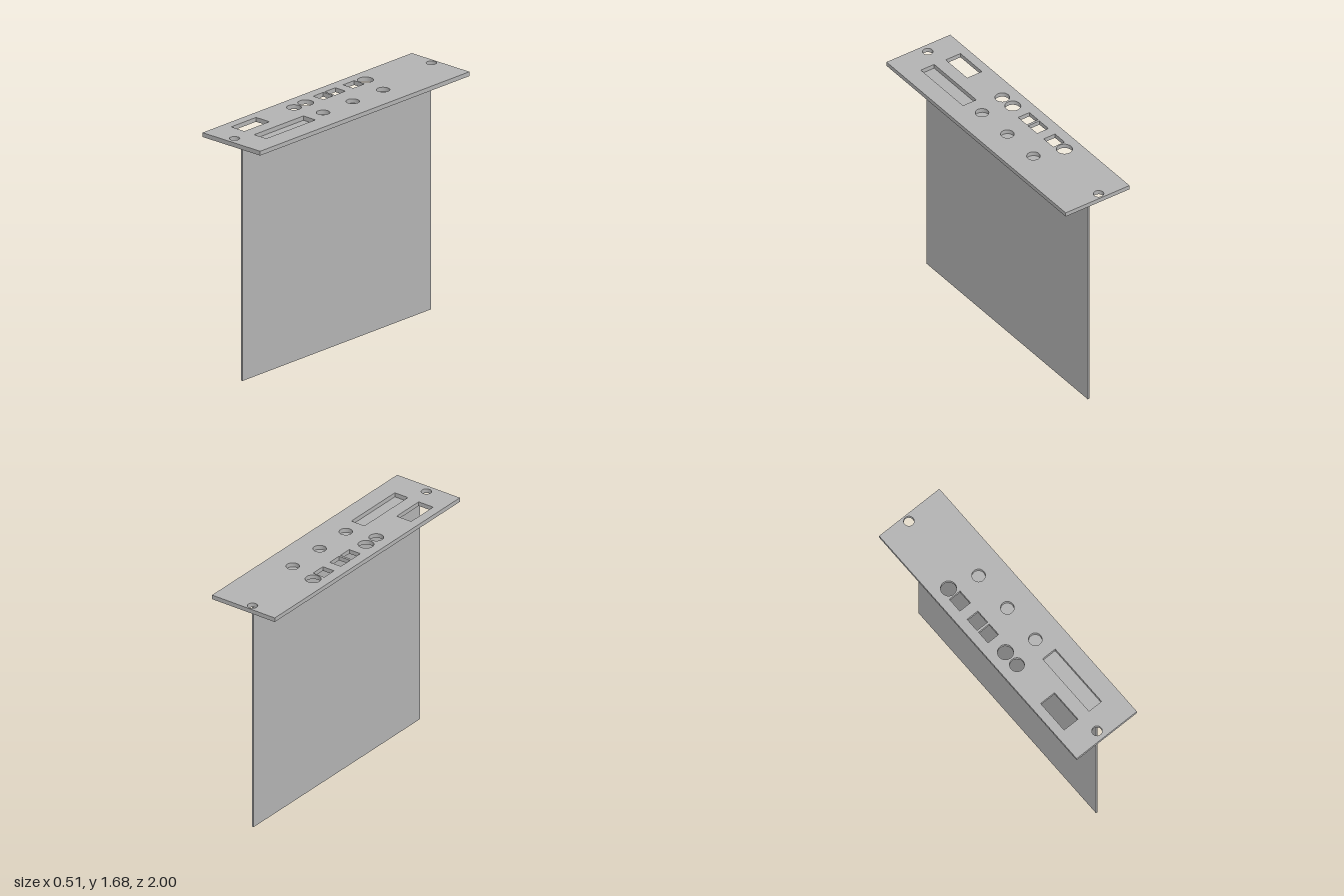
import * as THREE from 'three';
import { toCreasedNormals } from 'three/addons/utils/BufferGeometryUtils.js';

// Round cutouts: x, z, radius
const ROUND = [
  [-0.04, -0.955, 0.034], [-0.03, 0.937, 0.034],                        // mounting holes
  [-0.14, -0.434, 0.052], [-0.138, 0.14, 0.052], [-0.136, 0.254, 0.048], // jacks
  [0.067, -0.378, 0.044], [0.067, -0.087, 0.044], [0.067, 0.196, 0.044], // knobs
];

// Rectangular cutouts: x0, x1, z0, z1
const RECT = [
  [-0.184, -0.094, -0.373, -0.267],
  [-0.184, -0.094, -0.193, -0.093],
  [-0.184, -0.094, -0.077, 0.018],
  [-0.19, -0.073, 0.558, 0.796],
  [0.017, 0.123, 0.33, 0.8],
];

function rectangle(Type, x0, x1, z0, z1) {
  return new Type([[x0, z0], [x1, z0], [x1, z1], [x0, z1]].map(([x, z]) => new THREE.Vector2(x, z)));
}

export function createModel() {
  const group = new THREE.Group();
  const grey = new THREE.MeshStandardMaterial({ color: 0xb2b2b2 });
  grey.name = 'plain grey';

  const add = (name, geometry, x, y, z) => {
    const mesh = new THREE.Mesh(geometry, grey);
    mesh.name = name;
    mesh.position.set(x, y, z);
    group.add(mesh);
  };

  // Face plate, drawn in x and z, then laid flat so it extrudes downwards
  const outline = rectangle(THREE.Shape, -0.254, 0.254, -1, 1);
  for (const [x, z, r] of ROUND) {
    outline.holes.push(new THREE.Path().absarc(x, z, r, 0, Math.PI * 2, true));
  }
  for (const r of RECT) outline.holes.push(rectangle(THREE.Path, ...r));
  const plate = new THREE.ExtrudeGeometry(outline, { depth: 0.03, bevelEnabled: false, curveSegments: 24 });
  plate.rotateX(Math.PI / 2);
  add('facePlate', toCreasedNormals(plate, 0.6), 0, 1.68, 0);

  // Upright circuit board
  add('mainBoard', new THREE.BoxGeometry(0.014, 1.65, 1.8), 0, 0.825, 0);

  // Narrow board under the plate, closing the cutouts on the left side
  add('controlBoard', new THREE.BoxGeometry(0.12, 0.013, 1.8), 0.067, 1.6425, 0);

  return group;
}
